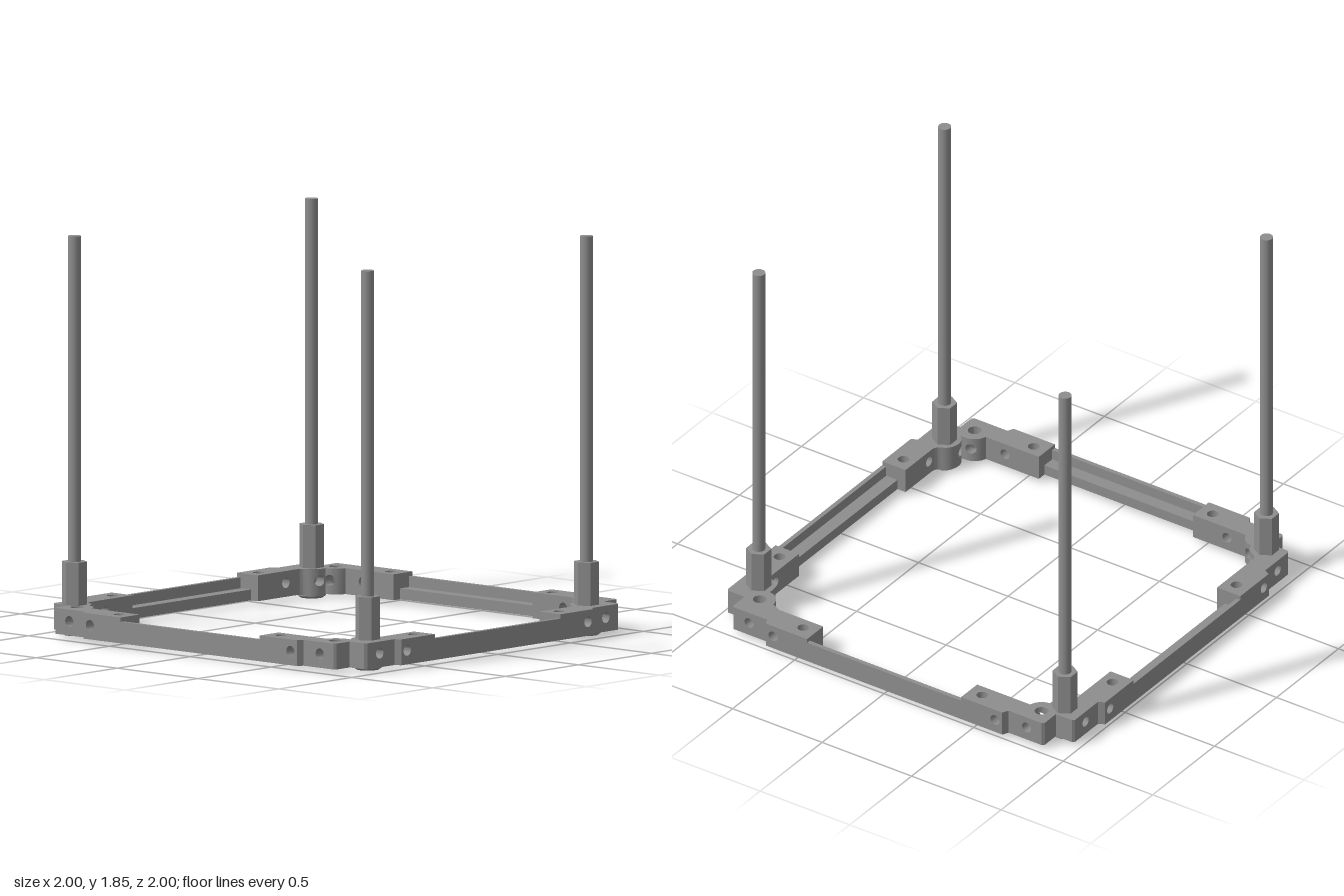
import * as THREE from 'three';
import { toCreasedNormals } from 'three/addons/utils/BufferGeometryUtils.js';

const Y0 = 0.02, Y1 = 0.14, BOSS = 0.075, FILLET = 0.04, EYE = 0.075, WALL = 0.87;
const mat = new THREE.MeshStandardMaterial({ color: 0x8d8d8d });

function add(parent, name, geo, x = 0, y = 0, z = 0) {
  const m = new THREE.Mesh(geo, mat);
  m.name = name;
  m.position.set(x, y, z);
  parent.add(m);
  return m;
}

// half width of a circle at t, zero outside it
const chord = (t, c, r) => Math.sqrt(Math.max(0, r * r - (t - c) * (t - c)));

// how far the boss stands out of the wall, with fillets at its foot
const BOSS_REACH = Math.sqrt((BOSS + FILLET) ** 2 - FILLET ** 2);
function bossBulge(t, c) {
  const s = Math.abs(t - c);
  if (s >= BOSS_REACH) return 0;
  if (s > BOSS_REACH * BOSS / (BOSS + FILLET)) return FILLET - chord(s, BOSS_REACH, FILLET);
  return chord(s, 0, BOSS);
}

// evenly turned samples across a circle
function circleSteps(c, r, n = 18) {
  return Array.from({ length: n + 1 }, (_, i) => c - r * Math.cos(Math.PI * i / n));
}

// split a range around a hole
function spans(lo, hi, mid, half) {
  return half === null ? [[lo, hi]] : [[lo, mid - half], [mid + half, hi]];
}

// Bar running along t, between inner(t) and outer(t), with upright holes
// {t, d, r} and level holes {t, y, r}. Built as strips around the holes.
function drilledBar({ steps, inner, outer, upright, level, map, flip }) {
  const holes = [...upright, ...level];
  const ts = [...steps, ...holes.flatMap(h => circleSteps(h.t, h.r))]
    .sort((a, b) => a - b).filter((t, i, a) => i === 0 || t - a[i - 1] > 1e-5);
  const pos = [];
  const quad = (a, b, c, d) => {
    const order = flip ? [a, c, b, a, d, c] : [a, b, c, a, c, d];
    for (const p of order) pos.push(...map(...p));
  };
  for (let i = 0; i + 1 < ts.length; i++) {
    const mid = (ts[i] + ts[i + 1]) / 2;
    const near = list => list.find(h => Math.abs(mid - h.t) < h.r);
    const up = near(upright), lv = near(level);
    const section = t => ({
      d: spans(inner(t), outer(t), up?.d, up ? chord(t, up.t, up.r) : null),
      y: spans(Y0, Y1, lv?.y, lv ? chord(t, lv.t, lv.r) : null),
    });
    const A = section(ts[i]), B = section(ts[i + 1]);
    for (let k = 0; k < A.d.length; k++) for (let j = 0; j < A.y.length; j++) {
      const ring = (t, S) => {
        const [d0, d1] = S.d[k], [y0, y1] = S.y[j];
        return [[t, y0, d0], [t, y0, d1], [t, y1, d1], [t, y1, d0]];
      };
      const a = ring(ts[i], A), b = ring(ts[i + 1], B);
      for (let e = 0; e < 4; e++) {
        const f = (e + 1) % 4;
        quad(a[e], b[e], b[f], a[f]);
      }
      if (i === 0) quad(a[0], a[1], a[2], a[3]);
      if (i + 2 === ts.length) quad(b[3], b[2], b[1], b[0]);
    }
  }
  const g = new THREE.BufferGeometry();
  g.setAttribute('position', new THREE.Float32BufferAttribute(pos, 3));
  g.computeVertexNormals();
  return toCreasedNormals(g, 0.5);
}

// stepped outer face, rounded off towards the corner notch
function outerFace(t) {
  if (t <= 0.66) return 1;
  if (t <= 0.675) return 1 - 0.03 * (t - 0.66) / 0.015;
  return t < 0.86 ? 0.97 : 0.97 - (t - 0.86);
}

function cornerBracket(sx, sz, postX, eyeX) {
  const g = new THREE.Group();
  g.name = 'cornerBracket';
  const eyeZ = 0.8, cut = eyeX - EYE, mirrored = sx * sz < 0;
  const bossStart = WALL - bossBulge(cut, postX);
  const common = [0.43, 0.66, 0.675, 0.86, 0.87];
  const level = [0.62, 0.775].map(t => ({ t, y: 0.085, r: 0.025 }));
  const screwHole = { t: 0.5, d: 0.93, r: 0.027 };

  // arm along x, with the round boss under the post
  add(g, 'frontBackArm', drilledBar({
    steps: [...common, cut, cut + 0.0005,
      ...circleSteps(postX, BOSS_REACH, 40).filter(t => t < cut)],
    inner: t => (t > cut ? WALL : WALL - bossBulge(t, postX)),
    outer: outerFace,
    upright: [screwHole], level,
    map: (t, y, d) => [sx * t, y, sz * d], flip: mirrored,
  }));

  // arm along z, with the rounded eye around the corner hole
  add(g, 'sideArm', drilledBar({
    steps: [...common, bossStart, bossStart + 0.0005,
      ...circleSteps(eyeZ, EYE).filter(t => t <= eyeZ)],
    inner: t => {
      if (t > eyeZ || t > bossStart) return cut;
      return t < eyeZ - EYE ? WALL : Math.min(WALL, eyeX - chord(t, eyeZ, EYE));
    },
    outer: outerFace,
    upright: [screwHole, { t: eyeZ, d: eyeX, r: 0.032 }], level,
    map: (t, y, d) => [sx * d, y, sz * t], flip: !mirrored,
  }));
  return g;
}

function post(x, z) {
  const g = new THREE.Group();
  g.name = 'post';
  g.position.set(x, 0, z);
  add(g, 'rod', new THREE.CylinderGeometry(0.03, 0.03, 1.83, 24), 0, 0.935, 0);
  // six-sided standoff
  const nut = new THREE.CylinderGeometry(0.058, 0.058, 0.2, 6).toNonIndexed();
  nut.computeVertexNormals();
  add(g, 'standoff', nut, 0, 0.24, 0).rotation.y = Math.PI / 6;
  // bolt head with a shallow socket
  const profile = [[0, 0.012], [0.025, 0.012], [0.025, 0], [0.052, 0], [0.066, 0.01], [0.066, 0.022]]
    .map(p => new THREE.Vector2(...p));
  add(g, 'boltHead', toCreasedNormals(new THREE.LatheGeometry(profile, 24), 0.5));
  return g;
}

export function createModel() {
  const model = new THREE.Group();
  model.name = 'rodFrame';

  // L-section rails between the brackets: tall outer wall, low inner ledge
  const section = new THREE.Shape([[0.915, 0.02], [1, 0.02], [1, 0.12], [0.978, 0.12],
    [0.978, 0.07], [0.915, 0.07]].map(p => new THREE.Vector2(...p)));
  const railGeo = new THREE.ExtrudeGeometry(section, { depth: 0.87, bevelEnabled: false })
    .translate(0, 0, -0.435).rotateY(-Math.PI / 2);
  ['frontRail', 'leftRail', 'backRail', 'rightRail'].forEach((name, i) => {
    add(model, name, railGeo).rotation.y = i * Math.PI / 2;
  });

  // side signs, post x and corner hole x
  const corners = [
    [1, 1, 0.75, 0.847], [-1, 1, 0.75, 0.887],
    [1, -1, 0.8, 0.885], [-1, -1, 0.825, 0.887],
  ];
  for (const [sx, sz, px, hx] of corners) {
    model.add(cornerBracket(sx, sz, px, hx));
    model.add(post(sx * px, sz * 0.873));
  }
  return model;
}
